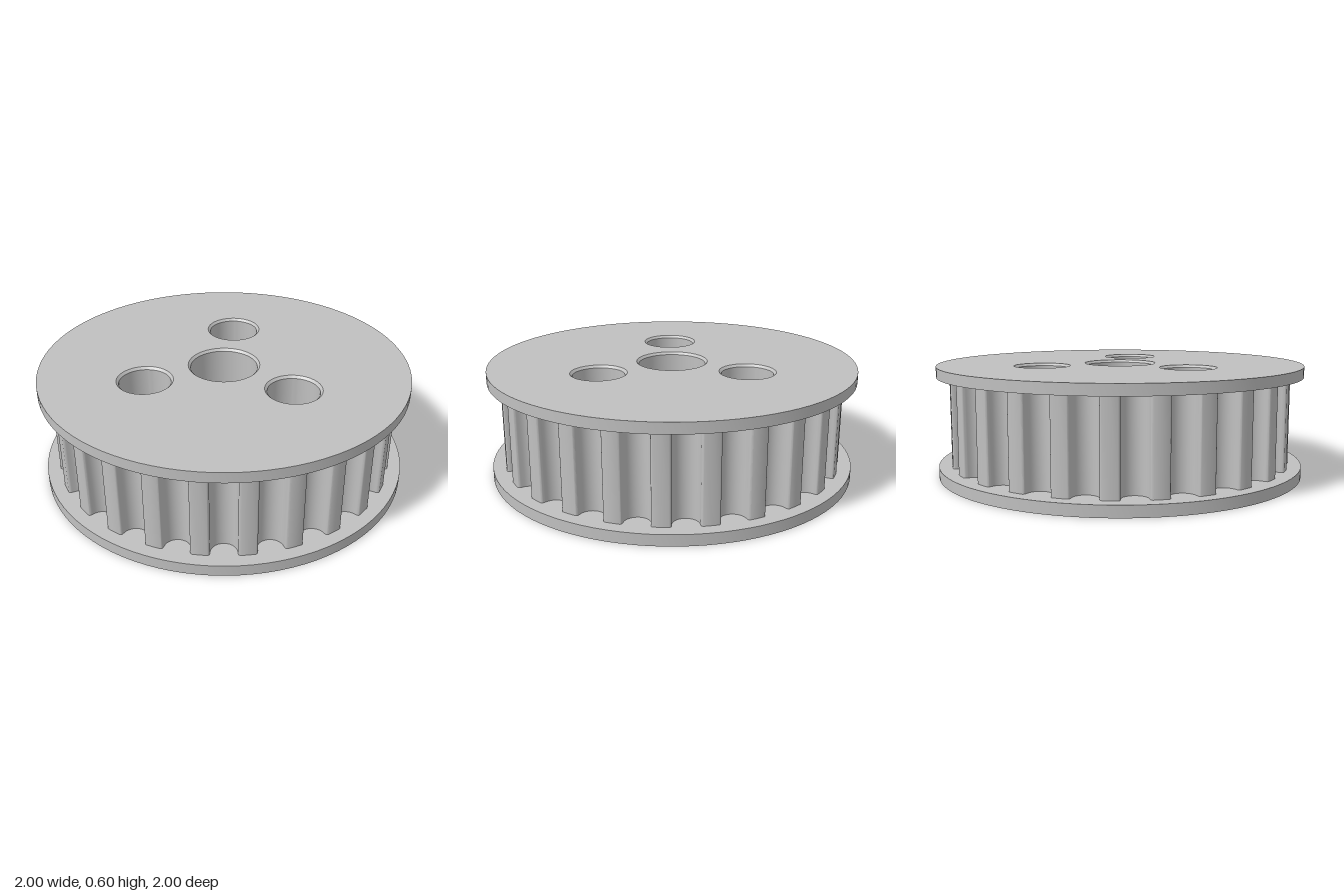
import * as THREE from 'three';
import { toCreasedNormals } from 'three/addons/utils/BufferGeometryUtils.js';

const SEGMENTS = 96;
const HEIGHT = 0.6, LOWER = 0.06, UPPER = 0.543; // flange inner faces
const TEETH = 25, TIP = 0.93;
const BOLT_CIRCLE = 0.45;

// three [x, z] positions on the bolt circle; sign flips them front to back
const boltCircle = (sign) => [0, 1, 2].map((i) => {
  const a = (i * Math.PI * 2) / 3;
  return [BOLT_CIRCLE * Math.sin(a), -sign * BOLT_CIRCLE * Math.cos(a)];
});

const lathe = (profile) => toCreasedNormals(
  new THREE.LatheGeometry(profile.map(([r, y]) => new THREE.Vector2(r, y)), SEGMENTS), 0.5);

// flat disc pierced by holes given as [x, z, radius]
function disc(holes, up) {
  const shape = new THREE.Shape().absarc(0, 0, 1, 0, Math.PI * 2);
  for (const [x, z, r] of holes) {
    shape.holes.push(new THREE.Path().absarc(x, up ? -z : z, r, 0, Math.PI * 2, true));
  }
  const geometry = new THREE.ShapeGeometry(shape, SEGMENTS / 2);
  geometry.rotateX(up ? -Math.PI / 2 : Math.PI / 2);
  return geometry.translate(0, up ? HEIGHT : 0, 0);
}

// toothed wall: round-bottomed grooves with rounded lips between narrow lands
function toothedWall() {
  const r = 0.067, centre = 0.906, mouth = 0.079;
  const lip = new THREE.QuadraticBezierCurve(
    new THREE.Vector2(-mouth, Math.sqrt(TIP * TIP - mouth * mouth)),
    new THREE.Vector2(-r, 0.925),
    new THREE.Vector2(-r, centre)).getPoints(5);
  const groove = [...lip];
  for (let i = 1; i < 14; i++) {
    const a = Math.PI + (i * Math.PI) / 14;
    groove.push(new THREE.Vector2(r * Math.cos(a), centre + r * Math.sin(a)));
  }
  for (const p of [...lip].reverse()) groove.push(new THREE.Vector2(-p.x, p.y));

  const outline = [];
  const step = (Math.PI * 2) / TEETH;
  for (let k = 0; k < TEETH; k++) {
    const land = -Math.PI / 2 + k * step;
    outline.push(new THREE.Vector2(TIP * Math.cos(land), TIP * Math.sin(land)));
    const c = Math.cos(land + step / 2), s = Math.sin(land + step / 2);
    for (const p of groove) outline.push(new THREE.Vector2(p.y * c - p.x * s, p.y * s + p.x * c));
  }
  const solid = new THREE.ExtrudeGeometry(new THREE.Shape(outline),
    { depth: UPPER - LOWER, bevelEnabled: false });
  // keep only the side faces, since the ends are covered by the flanges
  const side = solid.groups[1];
  const wall = new THREE.BufferGeometry();
  const positions = solid.attributes.position.array.slice(side.start * 3, (side.start + side.count) * 3);
  wall.setAttribute('position', new THREE.BufferAttribute(positions, 3));
  wall.rotateX(-Math.PI / 2).translate(0, LOWER, 0);
  return toCreasedNormals(wall, 0.6);
}

export function createModel() {
  const model = new THREE.Group();
  model.name = 'timingPulley';
  const metal = new THREE.MeshStandardMaterial({ color: 0xc0c0c0 });
  metal.name = 'grey metal';

  const add = (name, geometry, x = 0, z = 0) => {
    const mesh = new THREE.Mesh(geometry, metal);
    mesh.name = name;
    mesh.position.set(x, 0, z);
    model.add(mesh);
  };

  const screwSpots = boltCircle(1), tappedSpots = boltCircle(-1);

  // flanges
  add('upperFlangeFace', disc([[0, 0, 0.194], ...screwSpots.map(([x, z]) => [x, z, 0.15])], true));
  add('upperFlangeRim', lathe([[0.8, UPPER], [1, UPPER], [1, HEIGHT]]));
  add('lowerFlangeFace', disc([[0, 0, 0.194],
    ...screwSpots.map(([x, z]) => [x, z, 0.068]),
    ...tappedSpots.map(([x, z]) => [x, z, 0.081])], false));
  add('lowerFlangeRim', lathe([[1, 0], [1, LOWER], [0.8, LOWER]]));

  // teeth
  add('toothedWall', toothedWall());

  // shaft bore, chamfered at both ends
  add('shaftBore', lathe([[0.194, HEIGHT], [0.181, HEIGHT - 0.013], [0.181, 0.013], [0.194, 0]]));

  // counterbored through holes
  const screwHole = lathe([[0.15, HEIGHT], [0.137, HEIGHT - 0.013], [0.137, 0.3], [0.068, 0.3], [0.068, 0]]);
  screwSpots.forEach(([x, z], i) => add(`screwHole${i + 1}`, screwHole, x, z));

  // blind holes in the underside
  const blindHole = lathe([[0, 0.35], [0.068, 0.35], [0.068, 0.013], [0.081, 0]]);
  tappedSpots.forEach(([x, z], i) => add(`blindHole${i + 1}`, blindHole, x, z));

  return model;
}
